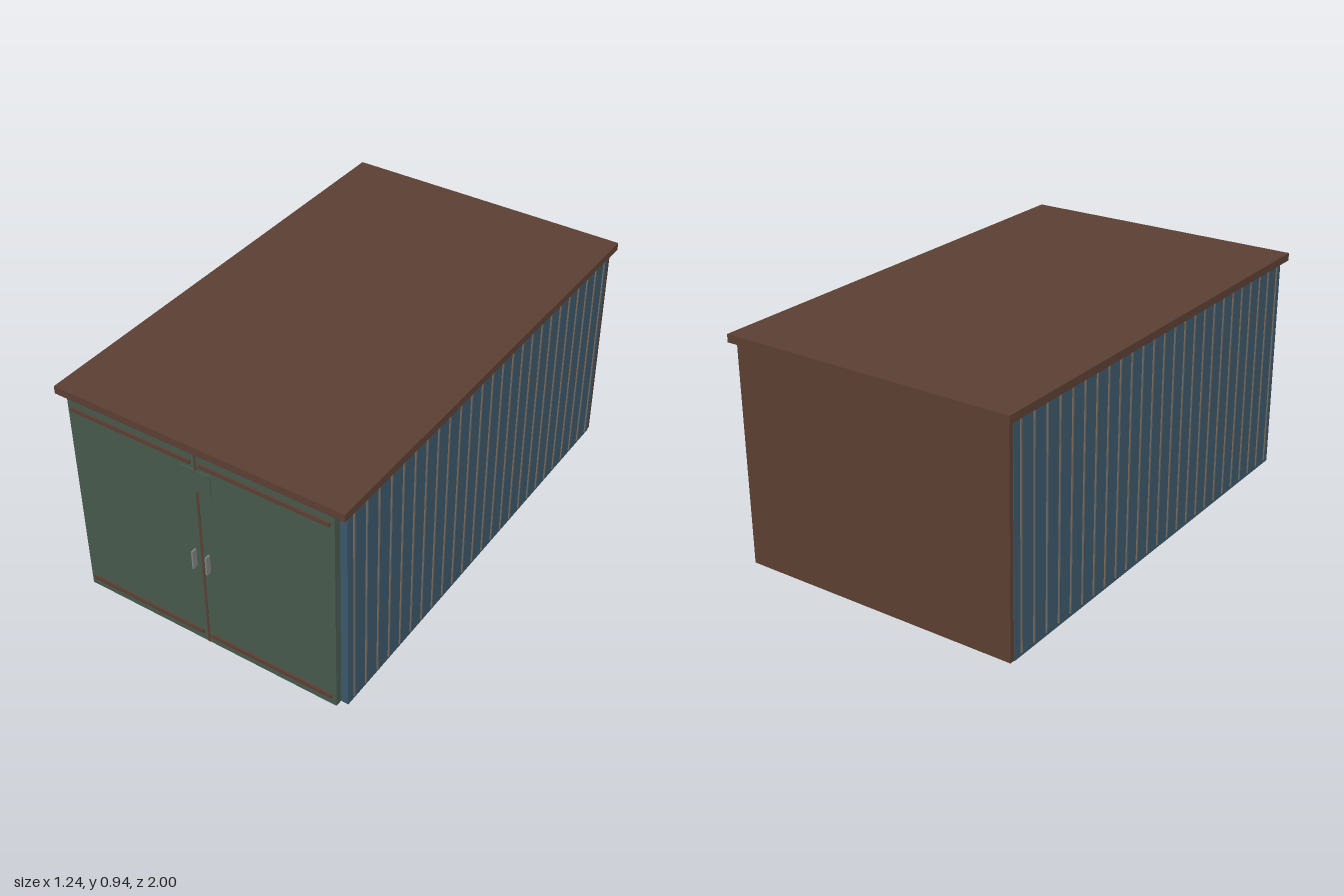
import * as THREE from 'three';

const mat = (name, color) => {
  const m = new THREE.MeshStandardMaterial({ color });
  m.name = name;
  return m;
};

export function createModel() {
  const model = new THREE.Group();
  model.name = 'shed';
  const brown = mat('brown', 0x5c4033);
  const blue = mat('blue', 0x3c576b);
  const green = mat('green', 0x465a4d);
  const tan = mat('tan', 0x75695c);
  const grey = mat('grey', 0x80807e);

  // Box given by its minimum and maximum corners
  const box = (name, material, [x0, y0, z0], [x1, y1, z1]) => {
    const mesh = new THREE.Mesh(new THREE.BoxGeometry(x1 - x0, y1 - y0, z1 - z0), material);
    mesh.position.set((x0 + x1) / 2, (y0 + y1) / 2, (z0 + z1) / 2);
    mesh.name = name;
    model.add(mesh);
  };
  // The same box on both sides of x = 0
  const pair = (name, material, [x0, y0, z0], [x1, y1, z1]) => {
    box(name + 'Left', material, [x0, y0, z0], [x1, y1, z1]);
    box(name + 'Right', material, [-x1, y0, z0], [-x0, y1, z1]);
  };

  // Shell: flat roof, back wall and side walls, open underneath
  box('roof', brown, [-0.62, 0.91, -1], [0.62, 0.942, 0.988]);
  box('backWall', brown, [-0.6, 0, -0.975], [0.6, 0.91, -0.955]);
  pair('sideWall', blue, [0.573, 0, -0.955], [0.603, 0.91, 0.948]);

  // Narrow upright battens along the side walls
  for (let i = 0; i < 25; i++) {
    const z = 0.912 - i * 0.0762;
    pair('batten', tan, [0.602, 0.015, z - 0.003], [0.608, 0.9, z + 0.003]);
  }

  // Double doors with top and bottom rails and handles
  pair('door', green, [0.003, 0.002, 0.948], [0.573, 0.907, 0.978]);
  pair('topRail', brown, [0.02, 0.856, 0.978], [0.556, 0.873, 0.986]);
  pair('bottomRail', brown, [0.02, 0.036, 0.978], [0.556, 0.053, 0.986]);
  pair('handle', grey, [0.027, 0.375, 0.978], [0.034, 0.457, 1]);

  // Strip over the door gap, and a blank plate across it
  box('centreStrip', brown, [-0.005, 0.002, 0.95], [0.005, 0.907, 0.98]);
  box('blankPlate', green, [-0.063, 0.74, 0.977], [0.063, 0.835, 0.982]);

  return model;
}
